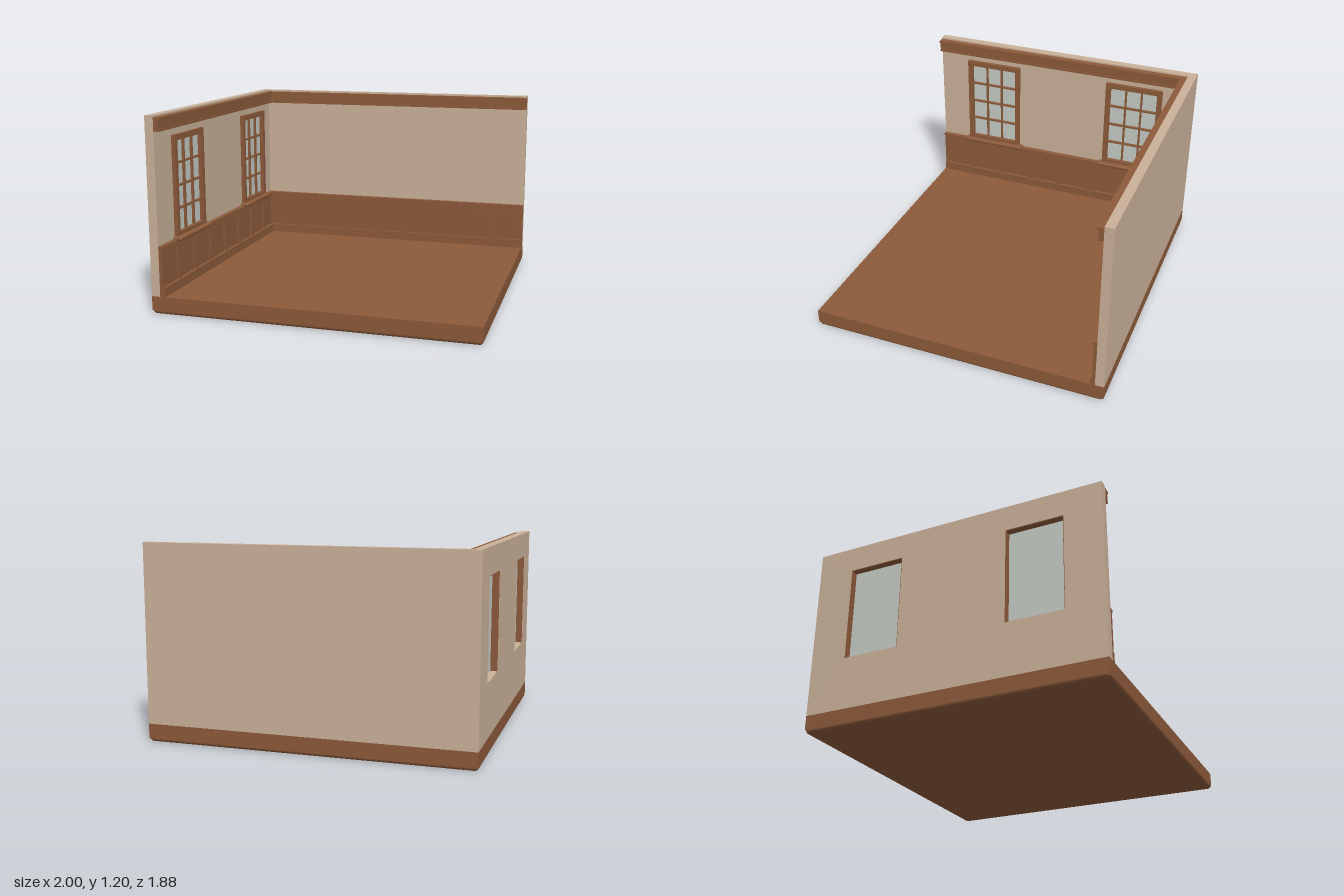
import * as THREE from 'three';
import { RoundedBoxGeometry } from 'three/addons/geometries/RoundedBoxGeometry.js';

const material = (name, color) => {
  const m = new THREE.MeshStandardMaterial({ color });
  m.name = name;
  return m;
};

export function createModel() {
  const wood = material('brown wood', 0x8c5a3a);
  const plaster = material('beige plaster', 0xcab199);
  const glass = material('pale glass', 0xc6cbc4);

  const model = new THREE.Group();
  model.name = 'roomCorner';

  const WALL_X = -0.945, WALL_Z = -0.885; // inner faces of the two walls
  const BASE_TOP = 0.11, TOP = 1.2;

  function add(parent, name, geometry, mat) {
    const mesh = new THREE.Mesh(geometry, mat);
    mesh.name = name;
    parent.add(mesh);
    return mesh;
  }

  // Box given by its limits on each axis
  function box(parent, name, mat, [x0, x1], [y0, y1], [z0, z1]) {
    const mesh = add(parent, name, new THREE.BoxGeometry(x1 - x0, y1 - y0, z1 - z0), mat);
    mesh.position.set((x0 + x1) / 2, (y0 + y1) / 2, (z0 + z1) / 2);
    return mesh;
  }

  // Base with softened lower edges, floor and rim
  const base = new THREE.Group();
  base.name = 'base';
  model.add(base);
  add(base, 'baseSlab', new RoundedBoxGeometry(2, 0.08, 1.88, 3, 0.022), wood).position.y = 0.04;
  box(base, 'floor', wood, [-1, 1], [0.022, 0.107], [-0.94, 0.94]);
  box(base, 'frontRim', wood, [-1, 1], [0.08, BASE_TOP], [0.91, 0.94]);
  box(base, 'backRim', wood, [-1, 1], [0.08, BASE_TOP], [-0.94, -0.885]);
  box(base, 'leftRim', wood, [0.97, 1], [0.08, BASE_TOP], [-0.885, 0.91]);
  box(base, 'rightRim', wood, [-1, -0.945], [0.08, BASE_TOP], [-0.885, 0.91]);

  // Walls: the window wall is an outline in (z, y) with two openings
  box(model, 'backWall', plaster, [WALL_X, 1], [BASE_TOP, TOP], [-0.94, WALL_Z]);
  const rectangle = (path, a, b, c, d) =>
    path.moveTo(a, c).lineTo(b, c).lineTo(b, d).lineTo(a, d).closePath();
  const outline = rectangle(new THREE.Shape(), -0.94, 0.94, BASE_TOP, TOP);
  const windowCentres = [-0.525, 0.525];
  for (const z of windowCentres) {
    outline.holes.push(rectangle(new THREE.Path(), z - 0.18, z + 0.18, 0.44, 1.04));
  }
  const wallGeometry = new THREE.ExtrudeGeometry(outline, { depth: 0.055, bevelEnabled: false });
  wallGeometry.rotateY(-Math.PI / 2);
  add(model, 'windowWall', wallGeometry, plaster).position.x = WALL_X;

  // Wood trim on one wall: u runs along the wall, d out from it
  function trimWall(name, onBack, u0, u1, panelStart, pitch, panelWidth, count) {
    const group = new THREE.Group();
    group.name = name;
    model.add(group);
    const strip = (part, [a, b], y, depth) => onBack
      ? box(group, part, wood, [a, b], y, [WALL_Z, WALL_Z + depth])
      : box(group, part, wood, [WALL_X, WALL_X + depth], y, [a, b]);
    const run = [u0, u1];

    strip('panelBacking', run, [BASE_TOP, 0.4], 0.01);
    strip('baseboard', run, [0.107, 0.165], 0.03);
    strip('topRail', run, [0.375, 0.405], 0.02);
    strip('chairRail', run, [0.405, 0.42], 0.032);

    // Crown moulding in three steps
    strip('crownBead', run, [1.107, 1.12], 0.036);
    strip('crownBand', run, [1.12, 1.176], 0.03);
    strip('crownCap', run, [1.176, 1.19], 0.044);

    // Recessed panels: stiles between them and slim moulding inside
    const stile = (a, b) => strip('stile', [Math.max(a, u0), Math.min(b, u1)], [0.165, 0.375], 0.02);
    stile(u0, panelStart);
    for (let i = 0; i < count; i++) {
      const a = panelStart + i * pitch, b = a + panelWidth;
      stile(b, a + pitch);
      strip('panelMoulding', [a, a + 0.008], [0.165, 0.375], 0.015);
      strip('panelMoulding', [b - 0.008, b], [0.165, 0.375], 0.015);
      strip('panelMoulding', [a, b], [0.367, 0.375], 0.015);
    }
  }
  trimWall('backWallTrim', true, WALL_X, 1, -0.928, 0.2155, 0.18, 9);
  trimWall('windowWallTrim', false, WALL_Z, 0.94, -0.872 - 0.043, 0.2345, 0.195, 8);

  // Windows with casing, lined reveal, glass, glazing bars and sill
  function addWindow(z) {
    const w = new THREE.Group();
    w.name = 'window';
    w.position.z = z;
    model.add(w);

    box(w, 'pane', glass, [-0.956, -0.948], [0.44, 1.04], [-0.18, 0.18]);
    box(w, 'headLining', wood, [-0.998, -0.945], [1.036, 1.042], [-0.18, 0.18]);
    const casing = [WALL_X - 0.004, -0.92];
    for (const s of [-1, 1]) {
      const span = (a, b) => (s > 0 ? [a, b] : [-b, -a]);
      box(w, 'jambLining', wood, [-0.998, -0.945], [0.44, 1.04], span(0.176, 0.182));
      box(w, 'sideCasing', wood, casing, [0.43, 1.06], span(0.167, 0.2));
    }
    box(w, 'headCasing', wood, casing, [1.025, 1.06], [-0.167, 0.167]);
    box(w, 'bottomCasing', wood, casing, [0.43, 0.457], [-0.167, 0.167]);

    for (const bar of [-0.056, 0.056]) {
      box(w, 'uprightBar', wood, [-0.95, -0.932], [0.455, 1.027], [bar - 0.006, bar + 0.006]);
    }
    for (const y of [0.6, 0.742, 0.884]) {
      box(w, 'crossBar', wood, [-0.95, -0.93], [y - 0.006, y + 0.006], [-0.168, 0.168]);
    }

    const sill = add(w, 'sill', new RoundedBoxGeometry(0.06, 0.024, 0.45, 3, 0.01), wood);
    sill.position.set(-0.916, 0.424, 0);
    box(w, 'apron', wood, [WALL_X, -0.92], [0.387, 0.413], [-0.187, 0.187]);
  }
  windowCentres.forEach(addWindow);

  return model;
}
